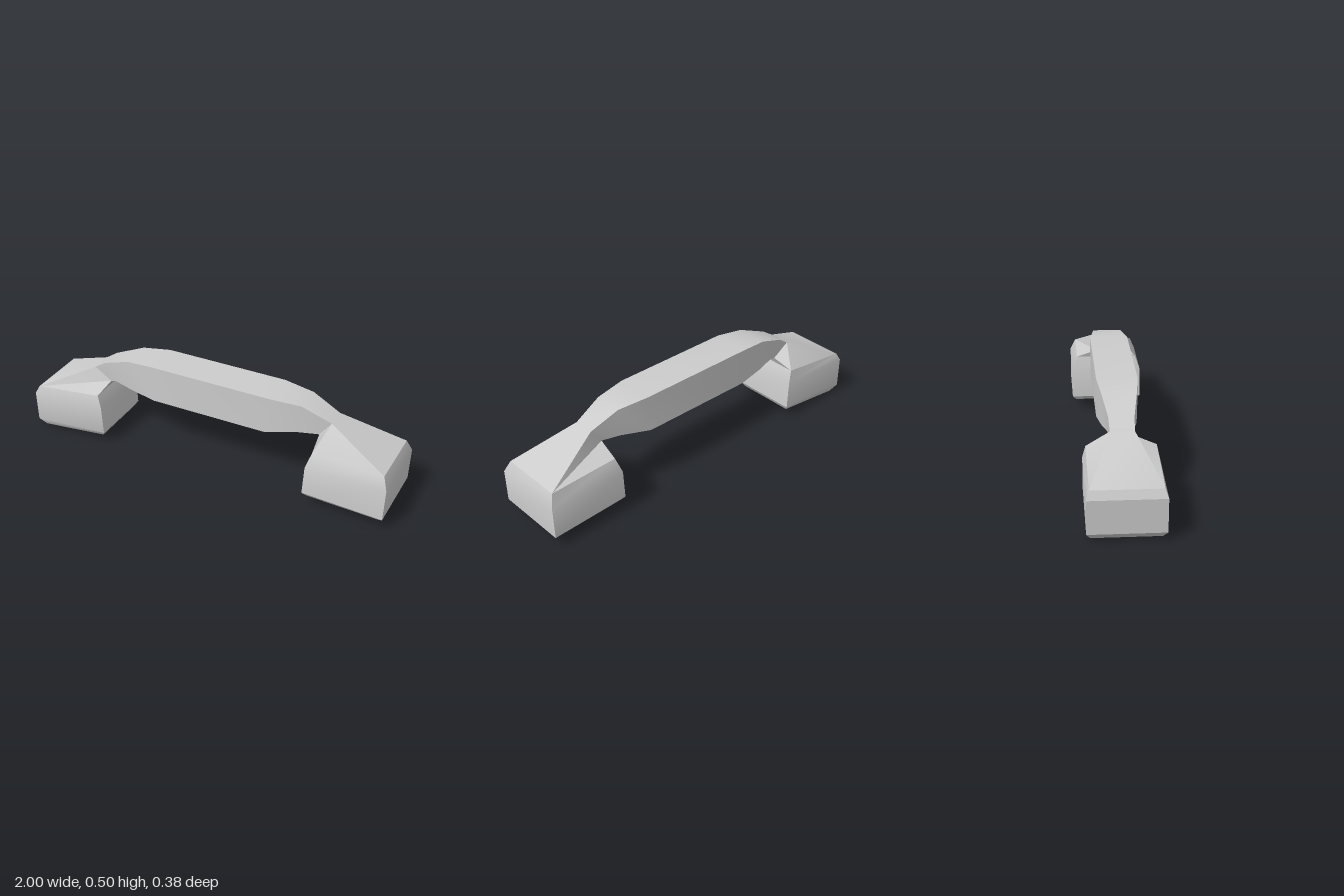
import * as THREE from 'three';
import { toCreasedNormals } from 'three/addons/utils/BufferGeometryUtils.js';

// Rings are [outerX, outerY, innerX, innerY, halfDepth], running from the -x end to the +x end.
const NECK_R = [-0.68, 0.385, -0.585, 0.325, 0.057];
const NECK_L = [0.66, 0.43, 0.60, 0.35, 0.054];

const RIGHT_HEAD = [
  [-0.96, 0.0, -0.59, 0.04, 0.16],
  [-0.995, 0.035, -0.572, 0.068, 0.179],
  [-1.0, 0.20, -0.58, 0.22, 0.179],
  [-0.98, 0.24, -0.605, 0.285, 0.165],
  NECK_R,
];

const HANDLE = [
  NECK_R,
  [-0.615, 0.428, -0.555, 0.333, 0.06],
  [-0.46, 0.488, -0.44, 0.322, 0.084],
  [-0.31, 0.505, -0.30, 0.307, 0.1],
  [0.345, 0.505, 0.33, 0.307, 0.1],
  [0.51, 0.495, 0.50, 0.344, 0.075],
  NECK_L,
];

const LEFT_HEAD = [
  NECK_L,
  [0.975, 0.297, 0.61, 0.31, 0.165],
  [1.0, 0.235, 0.587, 0.235, 0.192],
  [0.995, 0.062, 0.578, 0.08, 0.192],
  [0.975, 0.042, 0.60, 0.056, 0.172],
];

// Skin four-cornered rings; optionally close the first or last ring.
function loft(rings, capStart, capEnd) {
  const positions = [];
  const index = [];
  const quad = (a, b, c, d) => index.push(a, b, c, a, c, d);
  rings.forEach(([ox, oy, ix, iy, h]) =>
    positions.push(ox, oy, h, ix, iy, h, ix, iy, -h, ox, oy, -h));
  for (let i = 0; i < rings.length - 1; i++) {
    for (let j = 0; j < 4; j++) {
      const k = (j + 1) % 4;
      quad(i * 4 + j, i * 4 + k, i * 4 + 4 + k, i * 4 + 4 + j);
    }
  }
  const e = (rings.length - 1) * 4;
  if (capStart) quad(0, 3, 2, 1);
  if (capEnd) quad(e, e + 1, e + 2, e + 3);
  const geometry = new THREE.BufferGeometry();
  geometry.setAttribute('position', new THREE.Float32BufferAttribute(positions, 3));
  geometry.setIndex(index);
  return toCreasedNormals(geometry, THREE.MathUtils.degToRad(28));
}

export function createModel() {
  const group = new THREE.Group();
  group.name = 'handset';
  const grey = new THREE.MeshStandardMaterial({ color: 0xcccccc });
  grey.name = 'light grey';

  const add = (name, geometry) => {
    const mesh = new THREE.Mesh(geometry, grey);
    mesh.name = name;
    group.add(mesh);
  };

  add('rightHead', loft(RIGHT_HEAD, true, false)); // earpiece or mouthpiece block
  add('handle', loft(HANDLE, false, false)); // tapered grip
  add('leftHead', loft(LEFT_HEAD, false, true)); // opposite block
  return group;
}
